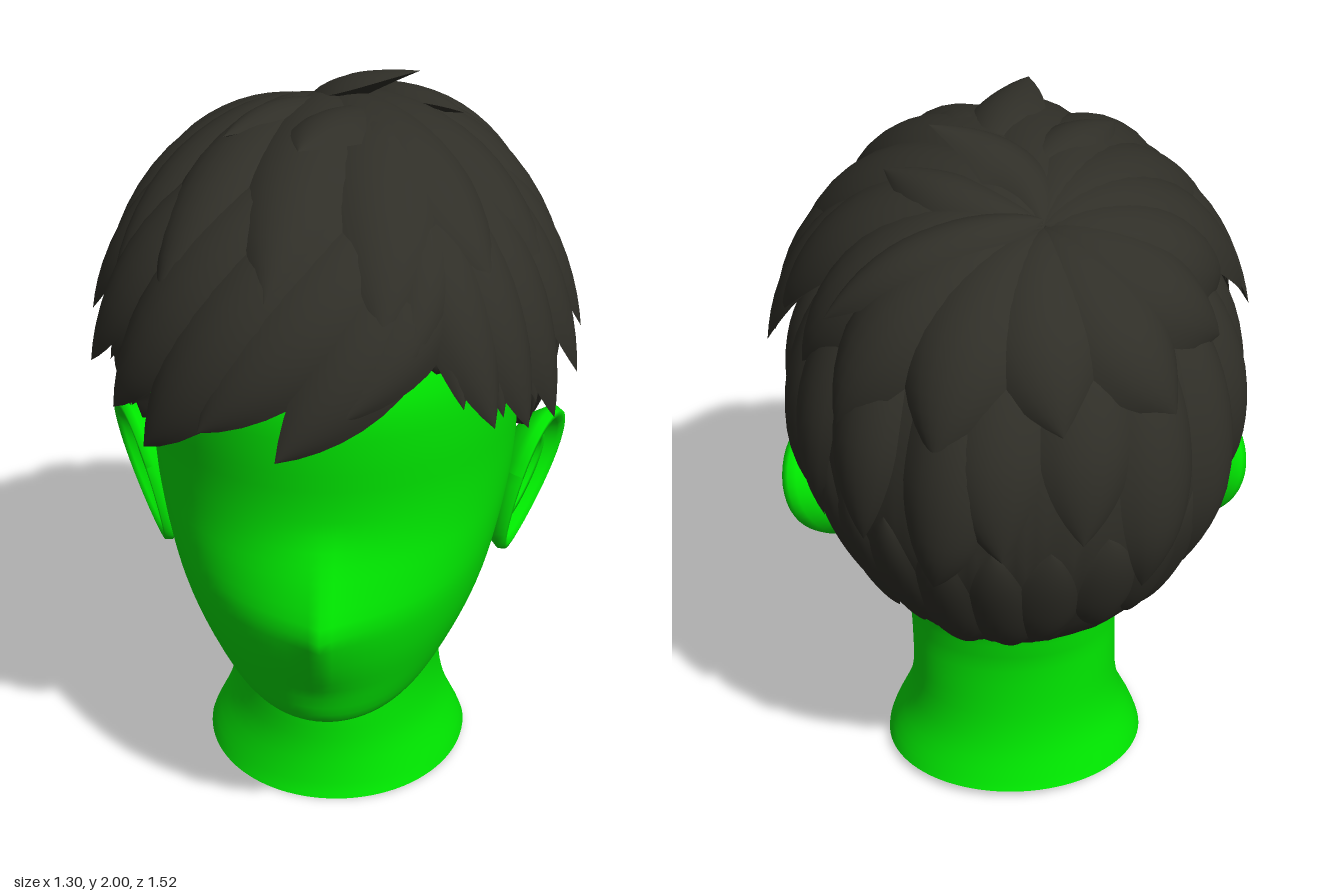
import * as THREE from 'three';
import { mergeGeometries } from 'three/addons/utils/BufferGeometryUtils.js';

const V = (x, y, z) => new THREE.Vector3(x, y, z);
const rad = THREE.MathUtils.degToRad;
const lerp = THREE.MathUtils.lerp;

let seed = 7;
const rnd = () => ((seed = (seed * 16807) % 2147483647) / 2147483647) * 2 - 1;

// Skins a list of closed rings of points.
function loft(rings) {
  const n = rings[0].length, pos = [], idx = [];
  rings.forEach(r => r.forEach(p => pos.push(p.x, p.y, p.z)));
  for (let j = 0; j < rings.length - 1; j++) {
    for (let i = 0; i < n; i++) {
      const a = j * n + i, b = j * n + (i + 1) % n;
      idx.push(a, b, b + n, a, b + n, a + n);
    }
  }
  const g = new THREE.BufferGeometry();
  g.setAttribute('position', new THREE.Float32BufferAttribute(pos, 3));
  g.setIndex(idx);
  g.computeVertexNormals();
  return g;
}

// ---- Head and neck: rings of [front y, back y, half width, front z, back z]
const HEAD = [
  [0, 0.03, 0.375, 0.35, -0.375], [0.04, 0.06, 0.362, 0.335, -0.36],
  [0.14, 0.15, 0.318, 0.315, -0.325], [0.24, 0.26, 0.297, 0.31, -0.305],
  [0.33, 0.42, 0.295, 0.31, -0.3], [0.375, 0.5, 0.298, 0.36, -0.31],
  [0.39, 0.56, 0.304, 0.47, -0.32], [0.405, 0.62, 0.318, 0.565, -0.34],
  [0.45, 0.7, 0.352, 0.605, -0.39], [0.55, 0.78, 0.402, 0.637, -0.44],
  [0.65, 0.84, 0.435, 0.665, -0.48], [0.76, 0.9, 0.458, 0.68, -0.51],
  [0.86, 0.95, 0.475, 0.66, -0.53], [0.96, 1.0, 0.487, 0.635, -0.55],
  [1.08, 1.09, 0.495, 0.628, -0.57], [1.22, 1.22, 0.5, 0.64, -0.58],
  [1.36, 1.36, 0.49, 0.635, -0.57], [1.5, 1.5, 0.45, 0.56, -0.53],
  [1.64, 1.64, 0.37, 0.44, -0.43], [1.76, 1.76, 0.2, 0.25, -0.25],
  [1.79, 1.79, 0, 0.05, 0.05],
];
function headRings() {
  const front = new THREE.CatmullRomCurve3(HEAD.map(r => V(r[2], r[0], r[3])), false, 'catmullrom', 0.5);
  const back = new THREE.CatmullRomCurve3(HEAD.map(r => V(0, r[1], r[4])), false, 'catmullrom', 0.5);
  const rings = [], steps = (HEAD.length - 1) * 3;
  for (let j = 0; j <= steps; j++) {
    const f = front.getPoint(j / steps), b = back.getPoint(j / steps), ring = [];
    // the neck is widest further back than the face
    const zc = lerp(-0.06, 0.05, THREE.MathUtils.smoothstep(b.y, 0.3, 0.75));
    for (let i = 0; i < 96; i++) {
      const a = i / 96 * Math.PI * 2, c = Math.cos(a);
      const x = f.x * Math.sin(a), y = lerp(b.y, f.y, (c + 1) / 2);
      let z = zc + c * (c > 0 ? f.z - zc : zc - b.z);
      // pointed nose
      if (c > 0) z += 0.08 * Math.max(0, 1 - Math.abs(y - 0.76) / 0.24) * Math.exp(-Math.abs(x) / 0.1);
      ring.push(V(x, y, z));
    }
    rings.push(ring);
  }
  return rings;
}

// ---- Ear: dished lathe squashed into an egg, with an inner fold
function earGeometry(side) {
  const profile = [[0, -0.07], [0.5, -0.055], [0.8, -0.025], [0.95, 0.01], [1, 0.03], [0.97, 0.05], [0.9, 0.052],
    [0.83, 0.04], [0.76, 0.015], [0.68, 0.012], [0.6, 0.024], [0.52, 0.02], [0.42, -0.015], [0.2, -0.03], [0, -0.035]];
  const dish = new THREE.LatheGeometry(profile.map(p => new THREE.Vector2(p[0], p[1])), 40);
  dish.rotateZ(-Math.PI / 2).scale(1, 0.215, 0.132);
  const tragus = new THREE.SphereGeometry(1, 16, 12).scale(0.025, 0.05, 0.03).translate(0, -0.03, 0.1);
  const g = mergeGeometries([dish, tragus]);
  const p = g.attributes.position;
  for (let i = 0; i < p.count; i++) p.setZ(i, p.getZ(i) * (1 + p.getY(i) * 1.5));
  g.rotateX(-0.4).rotateY(-0.42).rotateZ(-0.22).translate(0.505, 0.875, 0.005);
  if (side < 0) {
    for (let i = 0; i < p.count; i++) p.setX(i, -p.getX(i));
    g.index.array.reverse();
  }
  g.computeVertexNormals();
  return g;
}

// ---- Hair volume: a superellipsoid, drawn in towards the nape, that all hair follows
const C = V(0, 1.2, -0.03), R = V(0.575, 0.67, 0.7), P = 2.2;
const pw = v => Math.pow(Math.abs(v), P);
const root = v => Math.pow(Math.max(v, 0), 1 / P);
const project = v => v.clone().divideScalar(root(pw(v.x / R.x) + pw(v.y / R.y) + pw(v.z / R.z)));
const normalAt = v => V(...['x', 'y', 'z'].map(k =>
  Math.sign(v[k]) * Math.pow(Math.abs(v[k] / R[k]), P - 1) / R[k])).normalize();
function place(q) {
  const k = THREE.MathUtils.clamp((1.2 - C.y - q.y) / 0.75, 0, 1);
  const s = 1 - 0.06 * Math.sin(Math.PI * k) ** 2;
  return V(q.x * s, q.y, q.z * s).add(C);
}
// Points by azimuth (0 = front, 90 = left) and height, or by plan position
function around(deg, y) {
  const a = rad(deg), s = Math.sin(a), c = Math.cos(a), dy = y - C.y;
  const r = root(1 - pw(dy / R.y)) / root(pw(s / R.x) + pw(c / R.z));
  return V(s * r, dy, c * r);
}
const onTop = (x, z) => V(x, R.y * root(1 - pw(x / R.x) - pw((z - C.z) / R.z)), z - C.z);

const HAIRLINE = [[0, 1.47], [35, 1.4], [55, 1.3], [66, 1.21], [75, 1.07], [90, 1.04],
  [103, 1.02], [118, 0.82], [136, 0.63], [180, 0.56]];
function hairline(deg) {
  const a = Math.abs(((deg + 540) % 360) - 180);
  const k = Math.max(1, HAIRLINE.findIndex(h => h[0] >= a));
  const [a0, y0] = HAIRLINE[k - 1], [a1, y1] = HAIRLINE[k];
  return lerp(y0, y1, (a - a0) / (a1 - a0));
}

// Close-cropped cap with a ragged lower edge
function capGeometry() {
  const rings = [], n = 180, rows = 24;
  const edges = Array.from({ length: n }, (_, i) => hairline(i * 360 / n) + 0.015 * rnd());
  for (let j = -1; j <= rows; j++) {
    const ring = [], t = Math.max(j, 0) / rows;
    for (let i = 0; i < n; i++) {
      const e = (edges[i] - C.y) / R.y;
      const th = Math.acos(Math.sign(e) * Math.pow(Math.abs(e), P / 2)) * (1 - t);
      const y = C.y + R.y * Math.sign(Math.cos(th)) * Math.pow(Math.abs(Math.cos(th)), 2 / P);
      const s = j < 0 ? 0.86 : 0.95 + 0.05 * Math.min(1, t * 5);
      const p = around(i * 360 / n, y);
      ring.push(place(V(p.x * s, p.y, p.z * s)));
    }
    rings.push(ring);
  }
  return loft(rings);
}

// One leaf-shaped lock lying along the hair volume from s to e
function lock(s, e, { w = 0.13, lift = 0.03, base = 0.005, thick = 0.045, bend = 0 } = {}) {
  const side = e.clone().cross(s).normalize(), rows = 16, rings = [];
  const path = t => project(s.clone().lerp(e, t).addScaledVector(side, bend * Math.sin(Math.PI * t)));
  for (let j = 0; j <= rows; j++) {
    const t = j / rows, c = path(t), N = normalAt(c);
    const T = path(t + 0.01).sub(path(t - 0.01)).normalize(), B = T.clone().cross(N).normalize();
    const f = t < 0.55 ? Math.pow(Math.sin(t / 1.1 * Math.PI), 0.7) : 1 - Math.pow((t - 0.55) / 0.45, 1.7);
    const h = base + lift * t ** 2.2, ring = [];
    const put = (u, off) => {
      const q = project(c.clone().addScaledVector(B, w * f * u));
      ring.push(place(q.addScaledVector(normalAt(q), off)));
    };
    for (let i = -4; i <= 4; i++) put(i / 4, h + thick * f * (1 - (i / 4) ** 2));
    for (const u of [1, 0, -1]) put(u, h - (u ? 0 : 0.03 * f));
    rings.push(ring);
  }
  return loft(rings);
}

const WHORL = onTop(-0.05, -0.3);

// Fringe, parted on the left: [start x, start z, tip azimuth, tip height, half width]
const FRINGE = [
  [-0.12, -0.02, -80, 1.36, 0.14], [-0.05, 0.08, -65, 1.29, 0.15], [0.05, 0.15, -50, 1.24, 0.15],
  [0.13, 0.2, -37, 1.2, 0.15], [0.2, 0.24, -23, 1.29, 0.14], [0.25, 0.26, -8, 1.25, 0.13],
  [0.25, 0.26, 4, 1.35, 0.11], [0.16, 0.2, 14, 1.43, 0.09], [0.18, 0.15, 34, 1.28, 0.11],
  [0.2, 0.08, 44, 1.24, 0.12], [0.2, 0, 56, 1.21, 0.13], [0.2, -0.08, 69, 1.27, 0.14],
  [0.2, -0.15, 83, 1.33, 0.14],
];
function fringe() {
  return FRINGE.flatMap(([x, z, a, y, w]) => {
    const s = onTop(x, z), dir = a < 20 ? -1 : 1, lift = Math.abs(a) > 60 ? 0.08 : 0.06;
    return [
      lock(s, around(a, y), { w, lift, base: 0.01, thick: 0.05, bend: 0.05 * dir }),
      lock(s, around(a - 6 * dir, y + 0.05 + 0.02 * rnd()), { w: w * 0.75, lift: 0.05, base: 0, bend: 0.03 * dir }),
    ];
  });
}

// Crown: broad leaves fanning from the whorl
function crown() {
  const out = [];
  for (const [a, y] of [[-84, 1.42], [-62, 1.48], [-38, 1.54], [-12, 1.58], [12, 1.52], [40, 1.58], [64, 1.5], [88, 1.44]])
    out.push(lock(WHORL, around(a, y), { w: 0.15, lift: 0.05, base: 0.02, thick: 0.05, bend: a < 20 ? -0.05 : 0.05 }));
  for (let a = 110; a <= 262; a += 25)
    out.push(lock(WHORL, around(a + 4 * rnd(), 1.42 + 0.14 * rnd()), { w: 0.155, lift: 0.02, base: 0.01, thick: 0.065, bend: 0.03 }));
  return out;
}

// Back and sides: overlapping tiers pointing down
function tiers() {
  const out = [];
  for (let a = 78; a <= 282; a += 12) {
    const y = hairline(a);
    out.push(lock(around(a - 3, y + 0.6), around(a + 4 * rnd(), y + 0.12 + 0.07 * rnd()), { w: 0.09, lift: 0, base: 0, thick: 0.02 }));
  }
  for (let a = 92; a <= 270; a += 17)
    out.push(lock(around(a, 1.7), around(a + 7 * rnd(), 1.06 + 0.16 * rnd()), { w: 0.12, lift: 0.02, base: 0, thick: 0.04, bend: 0.04 * rnd() }));
  return out;
}

// Loose tufts standing up around the whorl
function tufts() {
  return [
    lock(WHORL, onTop(0.17, -0.05), { w: 0.085, lift: 0.14, base: 0.02, bend: 0.06 }),
    lock(WHORL, onTop(0.28, -0.06), { w: 0.08, lift: 0.08, base: 0.02, bend: -0.03 }),
    lock(WHORL, onTop(0.43, -0.33), { w: 0.08, lift: 0.04, base: 0.04 }),
    lock(onTop(0, -0.15), onTop(-0.24, 0.15), { w: 0.09, lift: 0.07, base: 0.02 }),
    lock(onTop(0.1, -0.1), onTop(-0.06, 0.32), { w: 0.1, lift: 0.12, base: 0.02 }),
    lock(onTop(0.08, -0.15), onTop(0.14, 0.34), { w: 0.12, lift: 0.05, base: 0.02 }),
  ];
}

export function createModel() {
  const skin = new THREE.MeshStandardMaterial({ color: 0x00e600 });
  skin.name = 'green skin';
  const hairMat = new THREE.MeshStandardMaterial({ color: 0x302f28 });
  hairMat.name = 'dark hair';

  const model = new THREE.Group();
  model.name = 'headWithShortHair';
  const add = (name, geometry, material, parent = model) => {
    const m = new THREE.Mesh(geometry, material);
    m.name = name;
    parent.add(m);
  };

  const rings = headRings();
  add('headAndNeck', loft(rings), skin);
  add('neckBase', loft([rings[0].map(() => V(0, 0.015, 0)), rings[0].map(p => p.clone())]), skin);
  add('leftEar', earGeometry(1), skin);
  add('rightEar', earGeometry(-1), skin);

  const hair = new THREE.Group();
  hair.name = 'hair';
  model.add(hair);
  add('hairCap', capGeometry(), hairMat, hair);
  add('backAndSideLocks', mergeGeometries(tiers()), hairMat, hair);
  add('fringe', mergeGeometries(fringe()), hairMat, hair);
  add('crownLocks', mergeGeometries(crown()), hairMat, hair);
  add('crownTufts', mergeGeometries(tufts()), hairMat, hair);
  return model;
}
